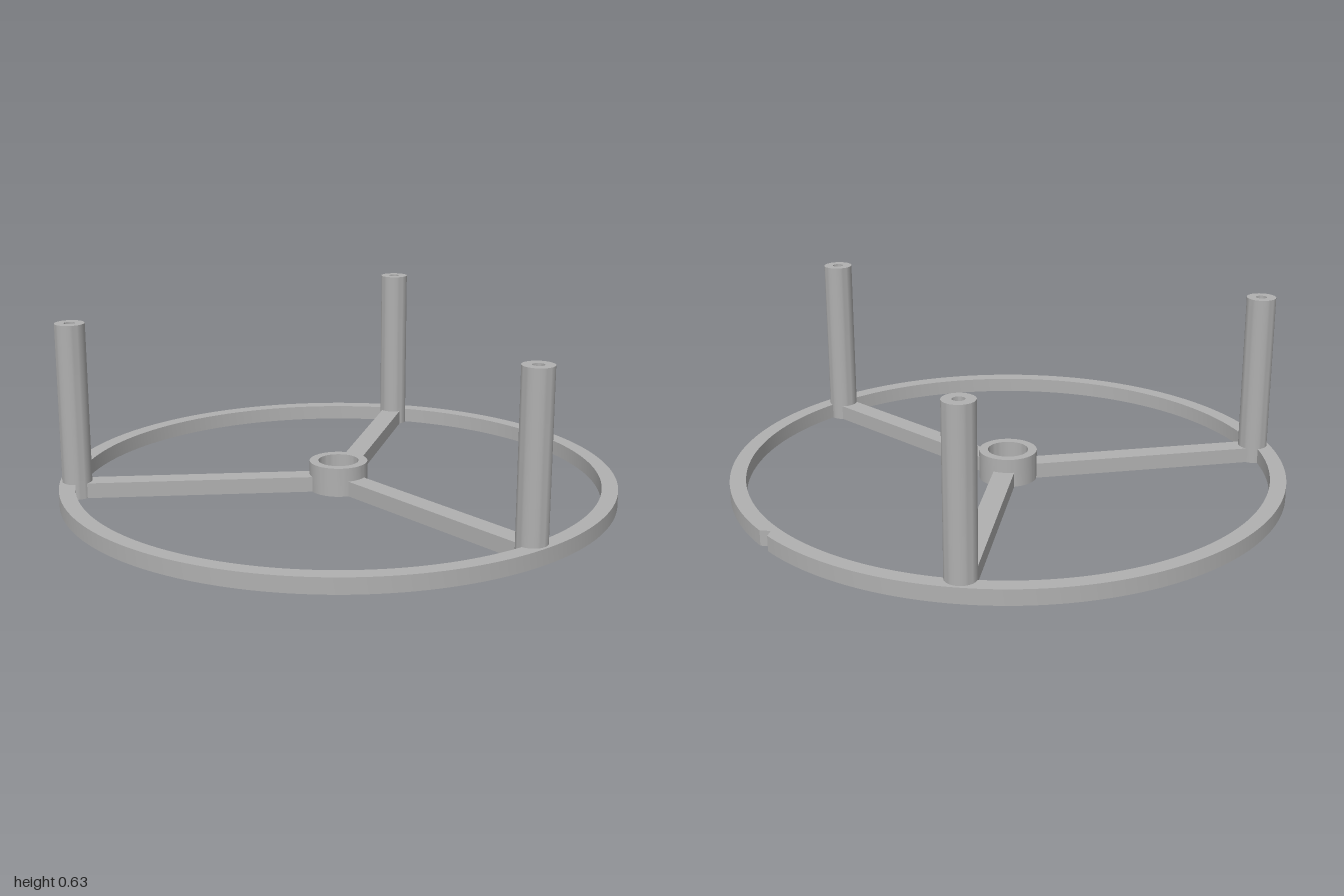
import * as THREE from 'three';
import { toCreasedNormals } from 'three/addons/utils/BufferGeometryUtils.js';

const BASE = 0.055; // thickness of rim and arms
const ARM_WIDTH = 0.075;
const POSTS = [[-0.85, -0.4], [0.66, -0.665], [0.163, 0.922]]; // x, z

export function createModel() {
  const group = new THREE.Group();
  const grey = new THREE.MeshStandardMaterial({ color: 0xb0b0b0 });
  grey.name = 'grey';

  const add = (name, geometry, x = 0, y = 0, z = 0) => {
    const mesh = new THREE.Mesh(toCreasedNormals(geometry, 0.5), grey);
    mesh.name = name;
    mesh.position.set(x, y, z);
    group.add(mesh);
    return mesh;
  };
  const turned = (profile, segments) =>
    new THREE.LatheGeometry(profile.map(([r, y]) => new THREE.Vector2(r, y)), segments);

  // Rim with a small V notch on its +x side
  const notch = 0.052;
  const rimShape = new THREE.Shape();
  rimShape.moveTo(Math.cos(notch), Math.sin(notch));
  rimShape.absarc(0, 0, 1, notch, Math.PI * 2, false);
  rimShape.lineTo(0.972, notch / 2);
  rimShape.closePath();
  const opening = new THREE.Path();
  opening.absarc(0, 0, 0.943, 0, Math.PI * 2, true);
  rimShape.holes.push(opening);
  const rim = new THREE.ExtrudeGeometry(rimShape, { depth: BASE, bevelEnabled: false, curveSegments: 128 });
  rim.rotateX(-Math.PI / 2);
  add('rim', rim);

  // Hub with a bore right through
  const hubProfile = [[0.073, 0], [0.105, 0], [0.105, 0.105], [0.073, 0.105], [0.073, 0]];
  add('hub', turned(hubProfile, 64));

  // Arms from the hub to the posts, each post with a blind screw hole
  const postProfile = [[0, 0], [0.053, 0], [0.053, 0.63], [0.02, 0.63], [0.02, 0.4], [0, 0.4]];
  POSTS.forEach(([x, z], i) => {
    const reach = Math.hypot(x, z);
    const start = 0.09;
    const mid = (start + reach) / 2 / reach;
    const arm = add(`arm${i + 1}`, new THREE.BoxGeometry(reach - start, BASE, ARM_WIDTH), x * mid, BASE / 2, z * mid);
    arm.rotation.y = Math.atan2(-z, x);
    add(`post${i + 1}`, turned(postProfile, 40), x, 0, z);
  });

  return group;
}
